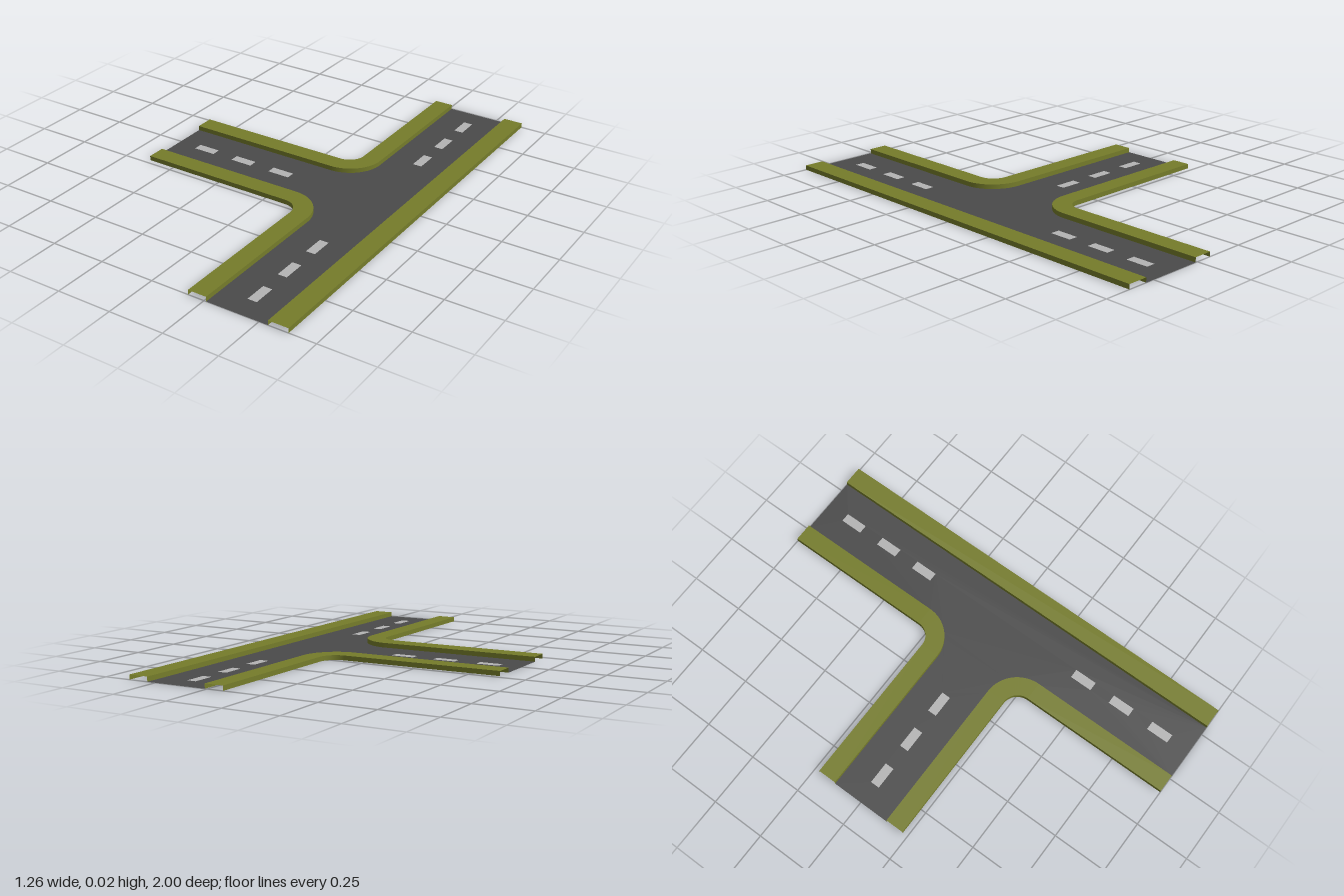
import * as THREE from 'three';

const END_X = -0.63, END_Z = 1, RIGHT_IN = 0.54, RIGHT_OUT = 0.63, HEIGHT = 0.021;
const CORNER_X = 0.1, CORNER_Z = 0.3, R_ROAD = 0.16, R_OUTER = 0.075, STEPS = 16;

const material = (color) => new THREE.MeshStandardMaterial({ color, side: THREE.DoubleSide });

// Edge from the side road's end, round the corner, to the main road's end: [x, z] points
function cornerEdge(r) {
  const pts = [[END_X, CORNER_Z - r]];
  for (let i = 0; i <= STEPS; i++) {
    const t = (i / STEPS) * Math.PI / 2;
    pts.push([CORNER_X + r * Math.sin(t), CORNER_Z - r * Math.cos(t)]);
  }
  pts.push([CORNER_X + r, END_Z]);
  return pts;
}

const mirrorZ = (pts) => pts.map(([x, z]) => [x, -z]).reverse();

// Open channel: inner wall, top and outer wall, without bottom or end caps
function channel(name, inner, outer, mat) {
  const profile = [[inner, 0], [inner, HEIGHT], [outer, HEIGHT], [outer, 0]];
  const pos = [], index = [];
  for (let k = 0; k < 3; k++) {
    const [a, ya] = profile[k], [b, yb] = profile[k + 1];
    const base = pos.length / 3;
    a.forEach((p, i) => {
      pos.push(p[0], ya, p[1], b[i][0], yb, b[i][1]);
      if (i < a.length - 1) {
        const v = base + i * 2;
        index.push(v, v + 1, v + 2, v + 1, v + 3, v + 2);
      }
    });
  }
  const geo = new THREE.BufferGeometry();
  geo.setAttribute('position', new THREE.Float32BufferAttribute(pos, 3));
  geo.setIndex(index);
  geo.computeVertexNormals();
  const mesh = new THREE.Mesh(geo, mat);
  mesh.name = name;
  return mesh;
}

// Flat horizontal surface from a shape drawn in x and -z
function flat(name, shape, mat) {
  const mesh = new THREE.Mesh(new THREE.ShapeGeometry(shape).rotateX(-Math.PI / 2), mat);
  mesh.name = name;
  return mesh;
}

const rectangle = (x, y, w, h) => [
  [x - w / 2, y - h / 2], [x + w / 2, y - h / 2], [x + w / 2, y + h / 2], [x - w / 2, y + h / 2],
].map(([px, py]) => new THREE.Vector2(px, py));

export function createModel() {
  const group = new THREE.Group();
  group.name = 'roadJunction';
  const verge = material(0x757c2a), asphalt = material(0x4a4a4a), paint = material(0xb4b4b4);

  // Raised verges
  const inner = cornerEdge(R_ROAD), outer = cornerEdge(R_OUTER);
  group.add(
    channel('frontCornerVerge', inner, outer, verge),
    channel('backCornerVerge', mirrorZ(inner), mirrorZ(outer), verge),
    channel('straightVerge', [[RIGHT_IN, END_Z], [RIGHT_IN, -END_Z]],
      [[RIGHT_OUT, END_Z], [RIGHT_OUT, -END_Z]], verge),
  );

  // Lane dashes, set into the road surface
  const dashes = [];
  for (const d of [0.443, 0.645, 0.848]) {
    dashes.push(rectangle(0.4, d, 0.042, 0.104), rectangle(0.4, -d, 0.042, 0.104));
  }
  for (const x of [-0.48, -0.275, -0.073]) dashes.push(rectangle(x, 0, 0.104, 0.042));
  dashes.forEach((pts, i) => group.add(flat(`laneDash${i + 1}`, new THREE.Shape(pts), paint)));

  // Road surface
  const outline = [...mirrorZ(inner), ...inner, [RIGHT_IN, END_Z], [RIGHT_IN, -END_Z]];
  const road = new THREE.Shape(outline.map(([x, z]) => new THREE.Vector2(x, -z)));
  road.holes = dashes.map((pts) => new THREE.Path(pts));
  group.add(flat('roadSurface', road, asphalt));
  return group;
}
